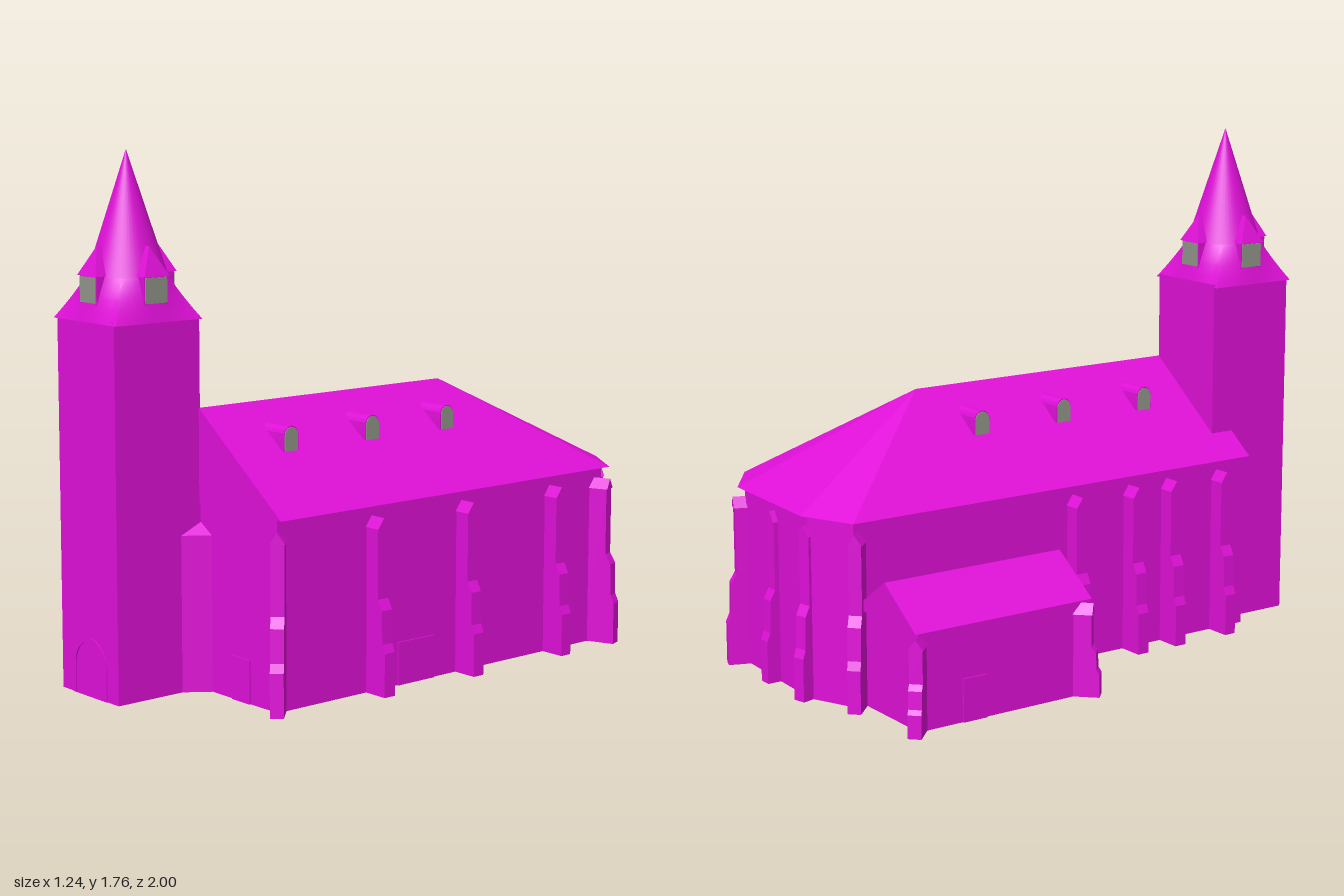
import * as THREE from 'three';
import { toCreasedNormals } from 'three/addons/utils/BufferGeometryUtils.js';

export function createModel() {
  const church = new THREE.Group();
  church.name = 'church';
  const stone = new THREE.MeshStandardMaterial({ color: 0xe010d8 });
  stone.name = 'magenta';
  const glass = new THREE.MeshStandardMaterial({ color: 0x92968a });
  glass.name = 'windowGrey';

  const add = (name, geo, mat = stone, parent = church) => {
    const mesh = new THREE.Mesh(geo, mat);
    mesh.name = name;
    parent.add(mesh);
    return mesh;
  };
  const box = (name, x0, x1, y0, y1, z0, z1, mat = stone, parent = church) => {
    const m = add(name, new THREE.BoxGeometry(x1 - x0, y1 - y0, z1 - z0), mat, parent);
    m.position.set((x0 + x1) / 2, (y0 + y1) / 2, (z0 + z1) / 2);
    return m;
  };
  const shapeOf = pts => new THREE.Shape(pts.map(p => new THREE.Vector2(p[0], p[1])));
  const extrude = (shape, depth) =>
    new THREE.ExtrudeGeometry(shape, { depth, bevelEnabled: false, curveSegments: 16 });
  // Upright prism over an [x, z] footprint
  const prism = (pts, h) => extrude(shapeOf(pts.map(([x, z]) => [x, -z])), h).rotateX(-Math.PI / 2);
  // Flat faces from convex corner loops
  const faces = (verts, loops) => {
    const pos = [];
    for (const l of loops)
      for (let i = 1; i < l.length - 1; i++)
        pos.push(...verts[l[0]], ...verts[l[i]], ...verts[l[i + 1]]);
    const g = new THREE.BufferGeometry();
    g.setAttribute('position', new THREE.Float32BufferAttribute(pos, 3));
    g.computeVertexNormals();
    return g;
  };
  // Round-headed opening, base at y = 0
  const arch = (half, height) => {
    const s = new THREE.Shape();
    s.moveTo(-half, 0);
    s.lineTo(half, 0);
    s.lineTo(half, height - half);
    s.absarc(0, height - half, half, 0, Math.PI, false);
    s.lineTo(-half, 0);
    return s;
  };

  // Nave and apse walls
  add('naveWalls', prism([[-0.25, 0.65], [0.525, 0.65], [0.525, -0.825], [0.36, -0.94],
    [-0.085, -0.96], [-0.25, -0.885]], 0.622));
  box('cornerBay', -0.25, -0.17, 0, 0.622, 0.64, 0.735);

  // Nave roof with polygonal hip
  const rv = [[-0.275, 0.62, 0.655], [0.55, 0.62, 0.655], [0.55, 0.62, -0.84], [0.37, 0.62, -0.965],
    [-0.09, 0.62, -0.985], [-0.275, 0.62, -0.9], [0.135, 0.93, 0.655], [0.135, 0.93, -0.4]];
  add('naveRoof', faces(rv, [[0, 1, 6], [1, 2, 7, 6], [2, 3, 7], [3, 4, 7], [4, 5, 7],
    [5, 0, 6, 7], [5, 4, 3, 2, 1, 0]]));
  const cornerRoof = add('cornerBayRoof',
    extrude(shapeOf([[-0.275, 0.62], [-0.17, 0.62], [-0.17, 0.6994]]), 0.09));
  cornerRoof.position.z = 0.65;

  // Roof dormers on both slopes
  for (const side of [-1, 1])
    for (const z of [-0.26, 0.08, 0.43]) {
      const dormer = new THREE.Group();
      dormer.name = 'roofDormer';
      add('dormerBody', toCreasedNormals(extrude(arch(0.03, 0.082), 0.125), 0.6), stone, dormer)
        .position.z = -0.125;
      add('dormerWindow', extrude(arch(0.027, 0.078), 0.003), glass, dormer);
      dormer.position.set(0.135 + side * 0.195, 0.79, z);
      dormer.rotation.y = side * Math.PI / 2;
      church.add(dormer);
    }

  // Tower
  box('tower', -0.175, 0.135, 0, 1.23, 0.65, 0.985);
  add('stairTurret', faces(
    [[0.135, 0, 0.64], [0.135, 0, 0.73], [0.2, 0, 0.64], [0.135, 0.56, 0.64], [0.135, 0.52, 0.73], [0.2, 0.52, 0.64]],
    [[1, 2, 5, 4], [4, 5, 3], [0, 2, 1], [0, 1, 4, 3], [2, 0, 3, 5]]));

  // Spire: square eaves blending into a cone
  const spire = new THREE.Group();
  spire.name = 'spire';
  spire.position.set(-0.018, 0, 0.82);
  church.add(spire);
  const N = 48;
  const cone = new THREE.CylinderGeometry(0, 0.13, 0.4, N, 1, true).translate(0, 1.56, 0);
  add('spireCone', cone, stone, spire);
  const skirt = new THREE.CylinderGeometry(0.13, 0.17, 0.14, N, 4);
  const p = skirt.attributes.position;
  for (let i = 0; i < p.count; i++) {
    const x = p.getX(i), z = p.getZ(i), r = Math.hypot(x, z);
    if (r < 1e-4) continue;
    const t = (0.07 - p.getY(i)) / 0.14;
    const k = 1 + t * (r / Math.max(Math.abs(x), Math.abs(z)) - 1);
    p.setX(i, x * k);
    p.setZ(i, z * k);
  }
  skirt.translate(0, 1.29, 0);
  add('spireSkirt', toCreasedNormals(skirt, 0.5), stone, spire);

  // Four spire dormers
  for (let i = 0; i < 4; i++) {
    const d = new THREE.Group();
    d.name = 'spireDormer';
    d.rotation.y = i * Math.PI / 2;
    box('dormerBody', -0.045, 0.045, 1.27, 1.37, 0.04, 0.152, stone, d);
    box('dormerWindow', -0.042, 0.042, 1.28, 1.362, 0.152, 0.156, glass, d);
    add('dormerRoof', faces(
      [[-0.05, 1.365, 0.16], [0.05, 1.365, 0.16], [0.05, 1.365, 0.03], [-0.05, 1.365, 0.03],
        [0, 1.458, 0.118], [0, 1.458, 0.03]],
      [[0, 1, 4], [1, 2, 5, 4], [3, 0, 4, 5], [3, 2, 1, 0], [2, 3, 5]]), stone, d);
    spire.add(d);
  }

  // Stepped buttresses with gabled caps
  const buttress = (x, z, dx, dz, s = 1, h = 0.58) => {
    const g = new THREE.Group();
    g.name = 'buttress';
    const w = 0.044, top = h - 0.03;
    add('buttressShaft', extrude(shapeOf([[-0.03, 0], [0.09 * s, 0], [0.09 * s, h * 0.25],
      [0.078 * s, h * 0.3], [0.075 * s, h * 0.49], [0.056 * s, h * 0.55], [0.056 * s, top],
      [-0.03, top]]), w), stone, g).position.z = -w / 2;
    const cap = add('buttressCap', extrude(shapeOf([[-w / 2 - 0.003, 0], [w / 2 + 0.003, 0], [0, 0.035]]),
      0.06 * s + 0.03), stone, g);
    cap.rotation.y = Math.PI / 2;
    cap.position.set(-0.03, top, 0);
    g.position.set(x, 0, z);
    g.rotation.y = Math.atan2(-dz, dx);
    church.add(g);
  };
  for (const z of [0.255, -0.145, -0.565]) buttress(0.525, z, 1, 0);
  for (const z of [0.61, 0.385, 0.22, -0.02]) buttress(-0.25, z, -1, 0);
  buttress(0.51, 0.63, 1, 1);
  buttress(0.525, -0.79, 0.93, -0.35);
  buttress(0.365, -0.92, 0.35, -0.93);
  buttress(0.145, -0.91, 0, -1);
  buttress(-0.065, -0.915, -0.25, -0.97);
  buttress(-0.24, -0.86, -0.7, -0.7);

  // Side annex
  box('annexWalls', -0.565, -0.24, 0, 0.335, -0.845, -0.215);
  const annexRoof = add('annexRoof', extrude(shapeOf([[-0.59, 0.33], [-0.24, 0.33], [-0.275, 0.362],
    [-0.41, 0.455]]), 0.68));
  annexRoof.position.z = -0.87;
  buttress(-0.56, -0.84, -1, -1, 0.8, 0.31);
  buttress(-0.56, -0.22, -1, 1, 0.8, 0.31);

  // Doors
  const frame = arch(0.093, 0.195);
  frame.holes.push(arch(0.078, 0.18));
  add('portalFrame', extrude(frame, 0.004)).position.set(-0.018, 0, 0.985);
  box('frontDoor', 0.3, 0.39, 0, 0.145, 0.65, 0.656);
  box('sideDoor', 0.525, 0.531, 0, 0.145, -0.02, 0.14);
  box('annexDoor', -0.571, -0.565, 0, 0.145, -0.68, -0.59);

  return church;
}
